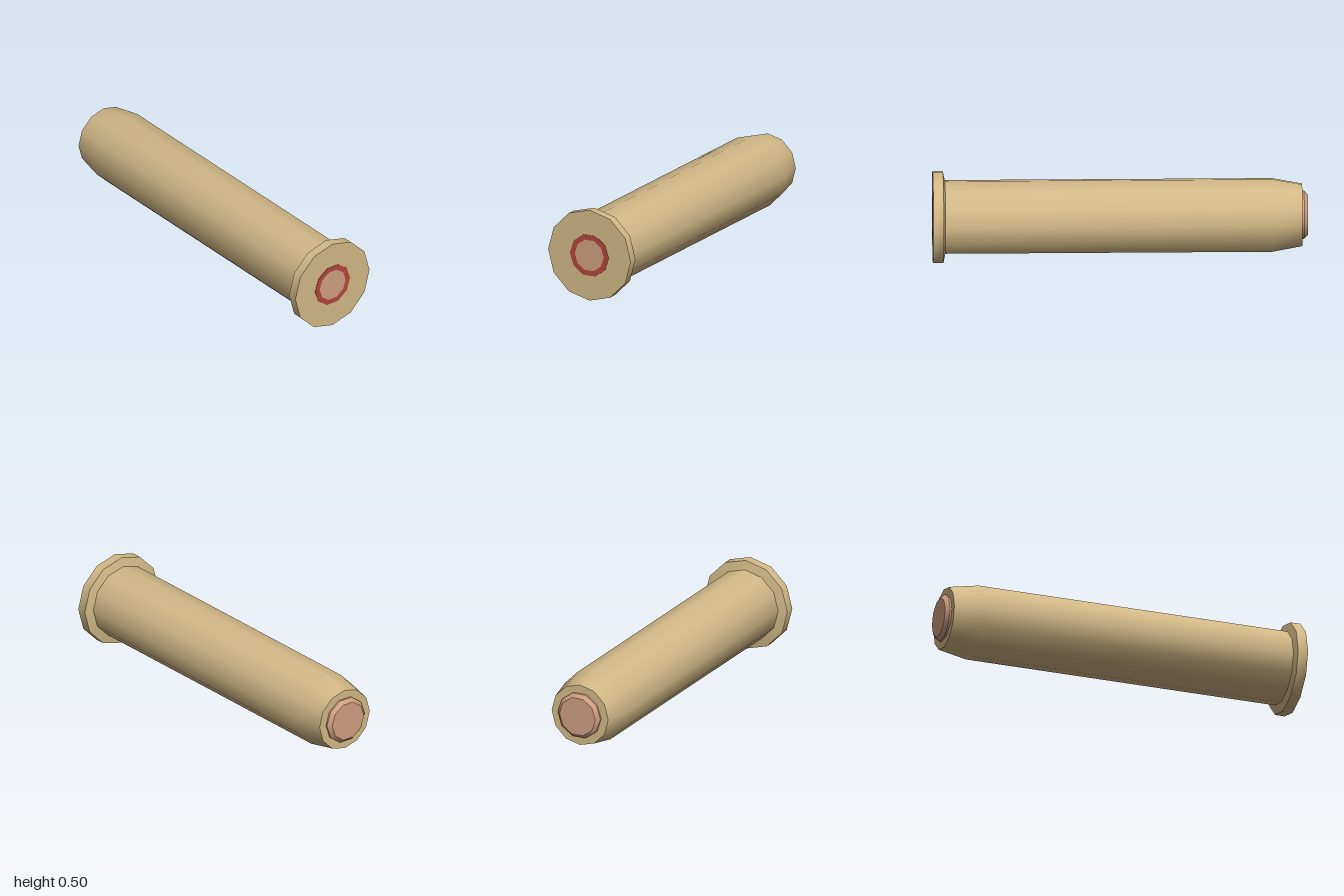
import * as THREE from 'three';
import { toCreasedNormals } from 'three/addons/utils/BufferGeometryUtils.js';

const CENTER_Y = 0.251;
const BRASS = 0xd2b886, RED = 0xb2463f, COPPER = 0xcf9f82;

// Solid of revolution about z; profile is [radius, z] from back to front
function turned(name, profile, sides, phiStart, color) {
  const points = profile.map(([r, z]) => new THREE.Vector2(r, z));
  const lathe = new THREE.LatheGeometry(points, sides, phiStart).rotateX(Math.PI / 2);
  const geometry = toCreasedNormals(lathe, THREE.MathUtils.degToRad(40));
  const mesh = new THREE.Mesh(geometry, new THREE.MeshStandardMaterial({ color }));
  mesh.name = name;
  mesh.position.y = CENTER_Y;
  return mesh;
}

export function createModel() {
  const group = new THREE.Group();
  group.name = 'cartridge';

  // Long twelve-sided case: tapered mouth, straight wall, wide rim, flat base
  group.add(turned('case', [
    [0, -0.97], [0.17, -0.97], [0.2, -0.81], [0.2, 0.933],
    [0.25, 0.943], [0.251, 0.998], [0, 0.998],
  ], 12, 0, BRASS));

  // Ten-sided bullet tip just proud of the mouth
  group.add(turned('bulletTip', [
    [0, -1], [0.108, -1], [0.128, -0.98], [0.128, -0.95],
  ], 10, Math.PI / 2, COPPER));

  // Primer in the base: red ring around a copper disc
  group.add(turned('primerRing', [
    [0.118, 0.98], [0.118, 1], [0.088, 1],
  ], 10, Math.PI / 2, RED));
  group.add(turned('primerDisc', [
    [0.088, 0.98], [0.088, 1], [0, 1],
  ], 10, Math.PI / 2, COPPER));

  return group;
}
